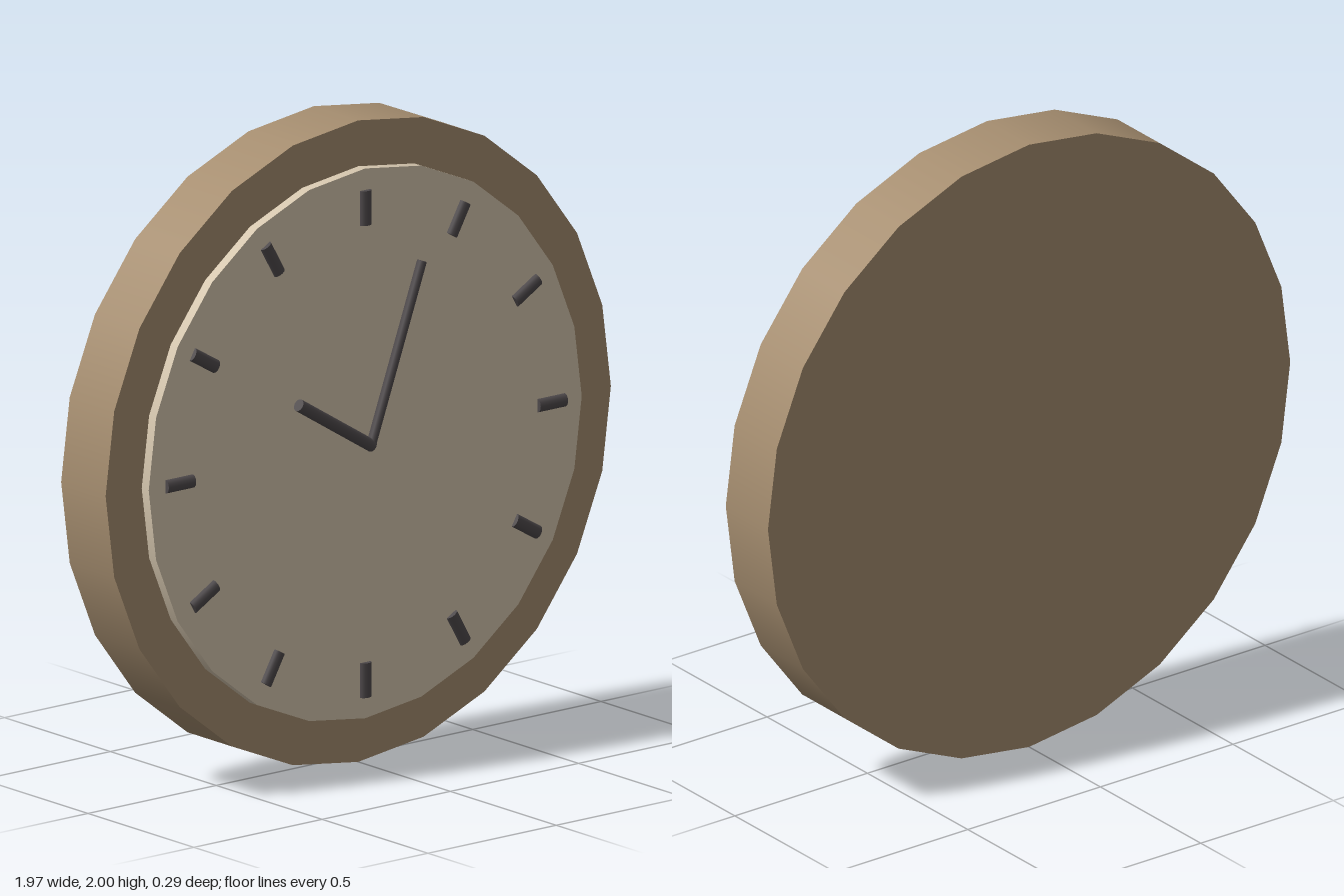
import * as THREE from 'three';

const material = (name, color) => {
  const m = new THREE.MeshStandardMaterial({ color });
  m.name = name;
  return m;
};

export function createModel() {
  const wood = material('brown case', 0xa68e70);
  const cream = material('cream dial', 0xd5c6ae);
  const dark = material('dark grey', 0x4e494b);
  const WIDTH = 0.985; // the clock is slightly narrower than tall

  const clock = new THREE.Group();
  clock.name = 'wallClock';

  const add = (name, geometry, mat) => {
    const mesh = new THREE.Mesh(geometry, mat);
    mesh.name = name;
    clock.add(mesh);
    return mesh;
  };

  // 24-sided disc facing +z, between two depths
  const disc = (name, radius, back, front, mat) => {
    const g = new THREE.CylinderGeometry(radius, radius, front - back, 24);
    g.rotateX(Math.PI / 2).scale(WIDTH, 1, 1).translate(0, 1, (back + front) / 2);
    add(name, g, mat);
  };
  disc('case', 1, -0.145, 0.065, wood);
  disc('dial', 0.857, 0.06, 0.098, cream);

  // Rod pointing outwards from the centre, clockwise angle from twelve o'clock
  const rod = (name, angle, start, end, radius, z, depth) => {
    const g = new THREE.CylinderGeometry(radius, radius, end - start, 12);
    g.scale(1, 1, depth).translate(0, (start + end) / 2, 0);
    g.rotateZ(-angle).scale(WIDTH, 1, 1).translate(0, 1, z);
    add(name, g, dark);
  };

  // Hour markers, half sunk into the dial
  for (let i = 0; i < 12; i++) {
    rod(`hourMarker${i + 1}`, ((i + 1) * Math.PI) / 6, 0.682, 0.79, 0.021, 0.098, 0.74);
  }

  // Hands
  rod('hourHand', -1.025, -0.005, 0.335, 0.0195, 0.1255, 1);
  rod('minuteHand', 0.357, -0.005, 0.577, 0.0155, 0.1255, 1);

  return clock;
}
